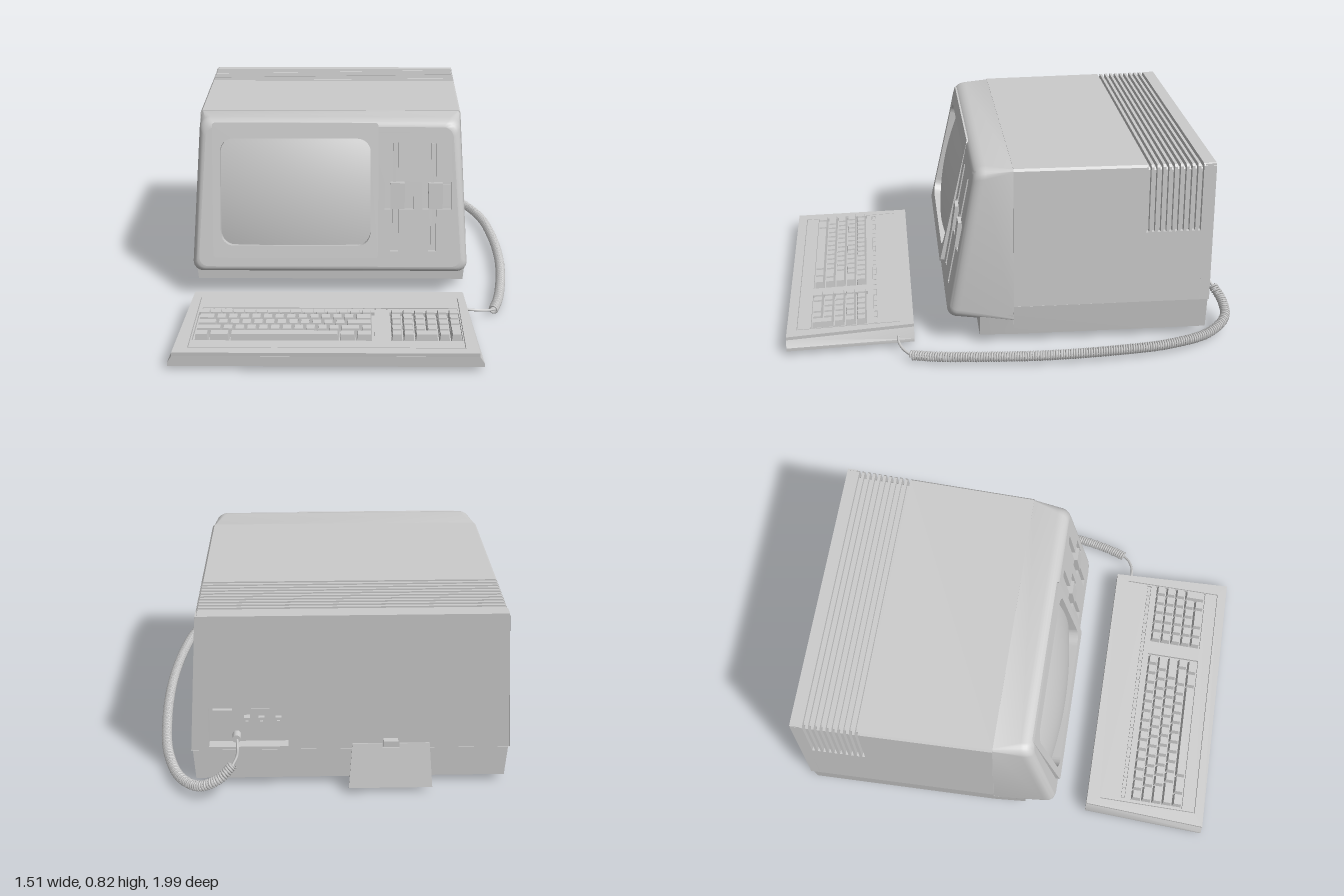
import * as THREE from 'three';
import { mergeGeometries, toCreasedNormals } from 'three/addons/utils/BufferGeometryUtils.js';

const grey = new THREE.MeshStandardMaterial({ color: 0xcccccc, side: THREE.DoubleSide });
const CX = -0.095;                 // centre line of computer and keyboard
const TILT = Math.atan(0.19);      // backward lean of the front face
const faceZ = (y) => 0.285 - 0.19 * (y - 0.185);
const faceV = (y) => (y - 0.47) / Math.cos(TILT);

function add(parent, name, geometry, x = 0, y = 0, z = 0) {
  const mesh = new THREE.Mesh(geometry, grey);
  mesh.name = name;
  mesh.position.set(x, y, z);
  parent.add(mesh);
  return mesh;
}
const box = (parent, name, w, h, d, x, y, z) => add(parent, name, new THREE.BoxGeometry(w, h, d), x, y, z);

// Skin over rings of [x, y, z] points, rings ordered back to front
function loft(rings, capBack, capFront, crease = 0.5) {
  const pos = [], n = rings[0].length;
  const tri = (...p) => p.forEach((q) => pos.push(...q));
  const cap = (ring, flip) => {
    const c = [0, 1, 2].map((k) => ring.reduce((s, p) => s + p[k], 0) / n);
    ring.forEach((p, i) => (flip ? tri(c, ring[(i + 1) % n], p) : tri(c, p, ring[(i + 1) % n])));
  };
  for (let r = 0; r + 1 < rings.length; r++) {
    for (let i = 0; i < n; i++) {
      const j = (i + 1) % n, a = rings[r], b = rings[r + 1];
      tri(a[i], a[j], b[j]);
      tri(a[i], b[j], b[i]);
    }
  }
  if (capBack) cap(rings[0], true);
  if (capFront) cap(rings[rings.length - 1], false);
  const g = new THREE.BufferGeometry();
  g.setAttribute('position', new THREE.Float32BufferAttribute(pos, 3));
  return toCreasedNormals(g, crease);
}

// Rounded trapezoid outline; zOf gives the depth at each height
function outline(hwBot, hwTop, y0, y1, r, zOf) {
  const pts = [];
  for (let c = 0; c < 4; c++) {
    const sx = c === 0 || c === 3 ? -1 : 1, sy = c < 2 ? -1 : 1;
    for (let k = 0; k <= 6; k++) {
      const a = Math.PI + (c + k / 6) * Math.PI / 2;
      const y = (sy < 0 ? y0 + r : y1 - r) + r * Math.sin(a);
      const hw = hwBot + (hwTop - hwBot) * (y - y0) / (y1 - y0);
      pts.push([sx * (hw - r) + r * Math.cos(a), y, zOf(y)]);
    }
  }
  return pts;
}

const polygon = (pts) => new THREE.Shape(pts.map((p) => new THREE.Vector2(p[0], p[1])));
function roundRect(x0, y0, x1, y1, r) {
  const s = new THREE.Shape(), q = Math.PI / 2;
  s.absarc(x0 + r, y0 + r, r, 2 * q, 3 * q);
  s.absarc(x1 - r, y0 + r, r, 3 * q, 4 * q);
  s.absarc(x1 - r, y1 - r, r, 0, q);
  s.absarc(x0 + r, y1 - r, r, q, 2 * q);
  return s;
}
function extrude(shape, holes, depth) {
  shape.holes.push(...holes);
  const g = new THREE.ExtrudeGeometry(shape, { depth, bevelEnabled: false, curveSegments: 8 });
  return toCreasedNormals(g, 0.5);
}

function buildHousing(parent) {
  // Rear cover with ten vent grooves over the top and upper sides
  const section = (z, d) => {
    const k = -z / 0.87, wb = 0.645 + 0.02 * k, wt = 0.6 + 0.02 * k;
    const w = (y) => wb + (wt - wb) * (y - 0.185) / 0.635;
    const right = [[wb, 0.185], [w(0.515), 0.515], [w(0.515) - d, 0.515],
      [w(0.81) - d, 0.81 - d], [wt - 0.008 - d, 0.82 - d]];
    const left = right.map(([x, y]) => [-x, y]).reverse();
    return [...right, ...left].map(([x, y]) => [x, y, z]);
  };
  const rings = [section(-0.87, 0)];
  for (let i = 0; i < 10; i++) {
    const z = -0.815 + i * 0.0252;
    rings.push(section(z, 0), section(z, 0.02), section(z + 0.013, 0.02), section(z + 0.013, 0));
  }
  rings.push(section(0, 0));
  add(parent, 'rearCover', loft(rings, false, true));

  // Plinth under the cover
  const base = (z, hw, top) => [[-hw + 0.008, 0.04, z], [hw - 0.008, 0.04, z], [hw, top, z], [-hw, top, z]];
  add(parent, 'plinth', loft([base(-0.865, 0.659, 0.182), base(0, 0.641, 0.182),
    base(0.001, 0.641, 0.14), base(0.15, 0.63, 0.135)], true, true));

  // Front shell rounding over to the tilted face
  const shell = [outline(0.642, 0.597, 0.11, 0.818, 0.012, () => 0)];
  for (let k = 0; k <= 6; k++) {
    const a = k / 6 * Math.PI / 2, inset = 0.032 * (1 - Math.cos(a));
    shell.push(outline(0.632 - inset, 0.588 - inset, 0.127 + inset, 0.82 - inset, 0.045,
      (y) => faceZ(y) - 0.05 * (1 - Math.sin(a))));
  }
  add(parent, 'frontShell', loft(shell, false, false));
  return shell[shell.length - 1];
}

function buildFace(parent, edge) {
  const face = new THREE.Group();
  face.name = 'frontFace';
  face.position.set(0, 0.47, faceZ(0.47));
  face.rotation.x = -TILT;
  parent.add(face);

  // Panel with the screen opening and two drive openings
  const drives = [0.199 - CX, 0.371 - CX];
  const slot = (x) => polygon([[x - 0.018, faceV(0.23)], [x + 0.018, faceV(0.23)], [x + 0.018, faceV(0.42)],
    [x + 0.086, faceV(0.42)], [x + 0.086, faceV(0.545)], [x - 0.045, faceV(0.545)], [x - 0.045, faceV(0.42)],
    [x - 0.018, faceV(0.42)]].concat([[x - 0.018, faceV(0.42)]]).slice(0, 3).concat(
    [[x + 0.086, faceV(0.42)], [x + 0.086, faceV(0.545)], [x + 0.018, faceV(0.545)], [x + 0.018, faceV(0.72)],
      [x + 0.008, faceV(0.73)], [x - 0.008, faceV(0.73)], [x - 0.018, faceV(0.72)], [x - 0.018, faceV(0.545)],
      [x - 0.045, faceV(0.545)], [x - 0.045, faceV(0.42)], [x - 0.018, faceV(0.42)]]));
  const panel = polygon(edge.map(([x, y]) => [x, faceV(y)]));
  const opening = roundRect(-0.515, faceV(0.235), 0.2, faceV(0.755), 0.06);
  add(face, 'facePanel', extrude(panel, [opening, ...drives.map(slot)], 0.03), 0, 0, -0.03);

  // Screen surround, leaning out at the foot
  const frame = roundRect(-0.53, faceV(0.2), 0.22, faceV(0.805), 0.015);
  const hole = roundRect(-0.495, faceV(0.255), 0.185, faceV(0.735), 0.06);
  add(face, 'screenFrame', extrude(frame, [hole], 0.065), 0, 0, -0.054).rotation.x = -0.03;

  // Bulging glass
  const glass = new THREE.PlaneGeometry(0.7, 0.51, 24, 18), p = glass.attributes.position;
  for (let i = 0; i < p.count; i++) {
    const u = p.getX(i) / 0.35, v = p.getY(i) / 0.255;
    p.setZ(i, -0.045 + 0.066 * (1 - 0.55 * u * u - 0.45 * v * v));
  }
  glass.computeVertexNormals();
  add(face, 'screenGlass', glass, -0.155, faceV(0.495), 0).rotation.x = -0.02;

  // Drive interior, guide rails and latches
  for (const x of drives) {
    box(face, 'driveBack', 0.15, 0.53, 0.01, x + 0.02, faceV(0.48), -0.033);
    box(face, 'driveRail', 0.014, 0.48, 0.016, x, faceV(0.48), -0.02);
    const latch = box(face, 'driveLatch', 0.064, 0.118, 0.04, x + 0.014, faceV(0.483), -0.008);
    latch.rotation.x = 0.04;
    box(face, 'latchStep', 0.036, 0.1, 0.015, x + 0.064, faceV(0.483), -0.02);
  }
}

function buildBack(parent) {
  // Rear panel with a connector recess
  const panel = polygon([[-0.664, 0.186], [0.664, 0.186], [0.619, 0.818], [-0.619, 0.818]]);
  const recess = polygon([[0.26, 0.2], [0.59, 0.2], [0.585, 0.39], [0.26, 0.39]]);
  add(parent, 'rearPanel', extrude(panel, [recess], 0.045), 0, 0, -0.87);
  box(parent, 'connectorBoard', 0.36, 0.22, 0.01, 0.425, 0.295, -0.822);
  [0.3, 0.37, 0.43].forEach((x) => {
    box(parent, 'connectorShell', 0.024, 0.11, 0.025, x, 0.275, -0.838);
    box(parent, 'connectorCore', 0.012, 0.085, 0.012, x, 0.275, -0.853);
  });
  box(parent, 'connectorHood', 0.14, 0.035, 0.04, 0.34, 0.368, -0.845);
  box(parent, 'powerInlet', 0.08, 0.06, 0.03, 0.53, 0.34, -0.838);
  const socket = add(parent, 'cableSocket', new THREE.CylinderGeometry(0.018, 0.018, 0.04, 16), 0.475, 0.235, -0.845);
  socket.rotation.x = Math.PI / 2;

  // Loose cover plate leaning on the back, with a finger notch
  const plate = polygon([[-0.175, 0], [0.175, 0], [0.16, 0.2], [0.035, 0.2], [0.035, 0.18],
    [-0.035, 0.18], [-0.035, 0.2], [-0.16, 0.2]]);
  add(parent, 'coverPlate', extrude(plate, [], 0.008), -0.165, 0.03, -0.937).rotation.x = 0.2;
  box(parent, 'coverTab', 0.06, 0.025, 0.025, -0.165, 0.222, -0.883);
}

function buildKeyboard(parent) {
  const board = new THREE.Group();
  board.name = 'keyboard';
  parent.add(board);
  const ring = (z, hw, top) => [[-hw, 0.02, z], [hw, 0.02, z], [hw, 0.035, z],
    [hw - 0.019, top, z], [-hw + 0.019, top, z], [-hw, 0.035, z]];
  add(board, 'keyboardCase', loft([ring(0.44, 0.617, 0.085), ring(1, 0.643, 0.065)], true, true));

  // Top plate with key wells, a label strip and a fine border groove
  const deck = new THREE.Group();
  deck.name = 'keyDeck';
  deck.position.set(0, 0.1, 0.44);
  deck.rotation.x = 0.0357;
  board.add(deck);
  const rect = (x0, z0, x1, z1) => polygon([[x0 - CX, 0.44 - z1], [x1 - CX, 0.44 - z1], [x1 - CX, 0.44 - z0], [x0 - CX, 0.44 - z0]]);
  const groove = polygon([[-0.66, 0.5], [-0.66, 0.957], [0.475, 0.957], [0.475, 0.5], [0.471, 0.5],
    [0.471, 0.953], [-0.656, 0.953], [-0.656, 0.5]].map(([x, z]) => [x - CX, 0.44 - z]));
  const plate = polygon([[-0.624, -0.56], [0.624, -0.56], [0.598, 0], [-0.598, 0]]);
  const wells = [rect(-0.65, 0.642, 0.105, 0.895), rect(0.17, 0.642, 0.468, 0.895), rect(-0.64, 0.598, 0.465, 0.618), groove];
  const g = extrude(plate, wells, 0.015);
  g.rotateX(-Math.PI / 2);
  add(deck, 'topPlate', g, 0, -0.015, 0);

  // Tapered keycaps laid out row by row in key units
  const U = 0.0492, caps = [];
  const key = (x, z, w, d = 1) => {
    const k = new THREE.BoxGeometry(w * U - 0.005, 0.038, d * U - 0.005), p = k.attributes.position;
    for (let i = 0; i < p.count; i++) {
      if (p.getY(i) < 0) continue;
      p.setX(i, p.getX(i) - Math.sign(p.getX(i)) * 0.005);
      p.setZ(i, p.getZ(i) - Math.sign(p.getZ(i)) * 0.005);
    }
    k.computeVertexNormals();
    caps.push(k.translate(x + w * U / 2 - CX, 0.005, z + d * U / 2 - 0.44));
  };
  const ones = (n) => Array(n).fill(1);
  const rows = [ones(15), [1.5, ...ones(12), 1.5], [1.75, ...ones(11), 2.25],
    [2.25, ...ones(10), 1.75, 1], [1.25, 1.75, 9.2, 1.4, 1.4]];
  rows.forEach((row, r) => {
    let x = -0.642;
    for (const w of row) { key(x, 0.646 + r * U, w); x += w * U; }
  });
  for (let r = 0; r < 5; r++) {
    for (let c = 0; c < 6; c++) {
      if ((c === 5 && r === 4) || (r === 4 && c === 3)) continue;
      const tall = c === 5 && r === 3, wide = c === 2 && r === 4;
      key(0.172 + c * U, 0.646 + r * U, wide ? 2 : 1, tall ? 2 : 1);
    }
  }
  add(deck, 'keycaps', mergeGeometries(caps));
  for (let i = 0; i < 22; i++) box(deck, 'labelTile', 0.044, 0.012, 0.014, -0.615 + i * 0.05 - CX, -0.008, 0.168);
}

// Coiled cable from the keyboard round the side to the back
class Coil extends THREE.Curve {
  constructor(path, turns, radius) { super(); Object.assign(this, { path, turns, radius }); }
  getUtoTmapping(u) { return u; }
  getPoint(t, out = new THREE.Vector3()) {
    const s = Math.min(Math.max(t, 0), 1), a = s * this.turns * Math.PI * 2;
    const tan = this.path.getTangentAt(s);
    const side = new THREE.Vector3().crossVectors(tan, new THREE.Vector3(0, 1, 0)).normalize();
    const up = new THREE.Vector3().crossVectors(side, tan);
    return out.copy(this.path.getPointAt(s)).addScaledVector(side, this.radius * Math.cos(a)).addScaledVector(up, this.radius * Math.sin(a));
  }
}
function buildCable(parent) {
  const curve = (pts) => new THREE.CatmullRomCurve3(pts.map((p) => new THREE.Vector3(...p)));
  const path = curve([[0.64, 0.024, 0.46], [0.67, 0.028, 0.36], [0.705, 0.035, 0.15], [0.726, 0.038, -0.1],
    [0.722, 0.04, -0.4], [0.69, 0.04, -0.68], [0.62, 0.045, -0.87], [0.53, 0.07, -0.962],
    [0.45, 0.11, -0.966], [0.395, 0.155, -0.935]]);
  add(parent, 'coiledCable', new THREE.TubeGeometry(new Coil(path, 150, 0.018), 1800, 0.0052, 5));
  const ends = [[[0.5, 0.05, 0.51], [0.56, 0.045, 0.51], [0.61, 0.035, 0.49], [0.645, 0.024, 0.455]],
    [[0.395, 0.155, -0.935], [0.378, 0.185, -0.915], [0.375, 0.22, -0.895], [0.38, 0.235, -0.84]]];
  ends.forEach((e) => add(parent, 'cableEnd', new THREE.TubeGeometry(curve(e), 20, 0.006, 8)));
}

export function createModel() {
  const model = new THREE.Group();
  model.name = 'desktopComputer';
  const body = new THREE.Group();
  body.name = 'computer';
  body.position.x = CX;
  model.add(body);
  buildFace(body, buildHousing(body));
  buildBack(body);
  const desk = new THREE.Group();
  desk.name = 'keyboardPosition';
  desk.position.x = CX;
  model.add(desk);
  buildKeyboard(desk);
  buildCable(model);
  return model;
}
